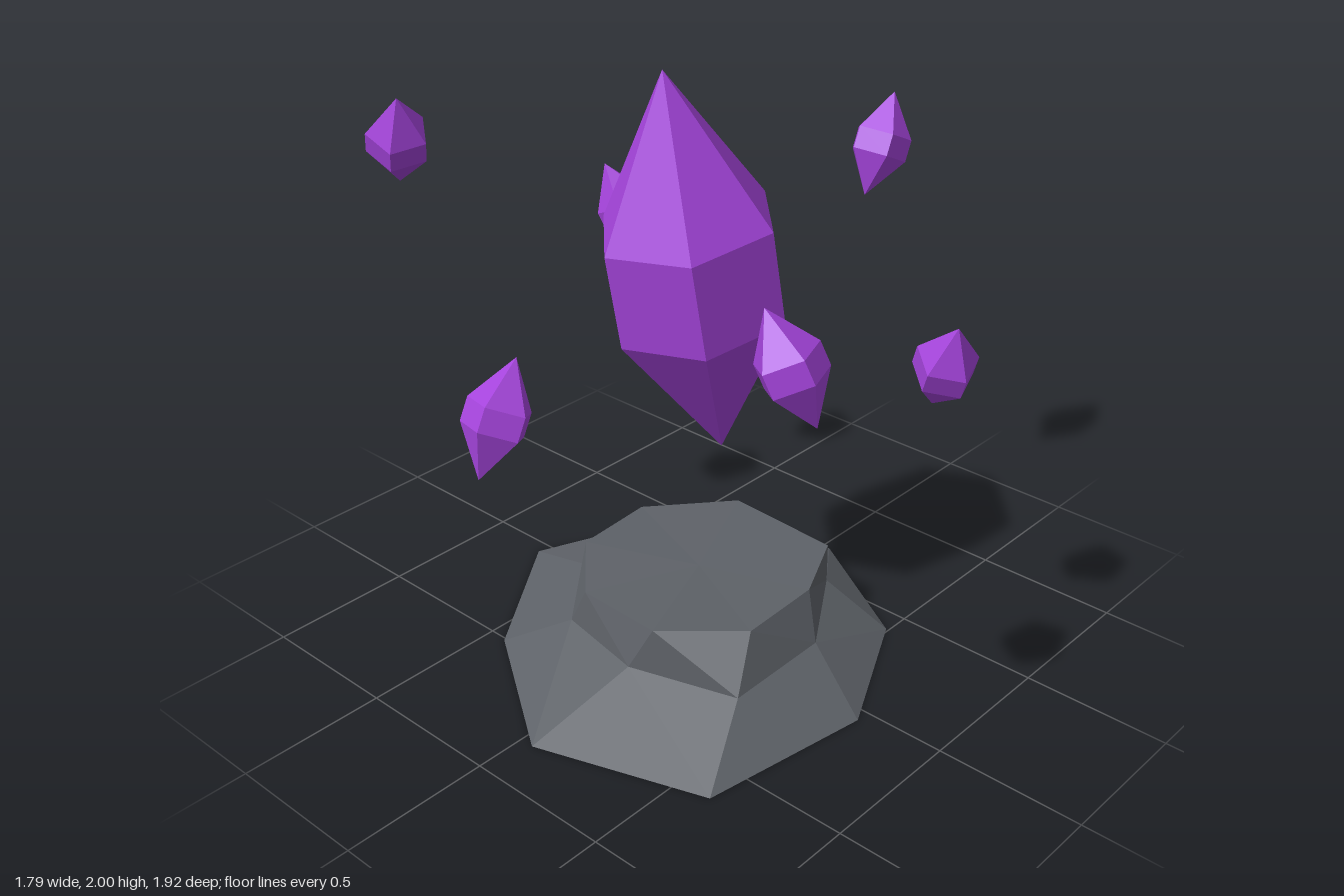
import * as THREE from 'three';

const crystalMat = new THREE.MeshStandardMaterial({ name: 'purple crystal', color: 0xa544dc, flatShading: true });
const rockMat = new THREE.MeshStandardMaterial({ name: 'grey rock', color: 0x5e6268, flatShading: true });

// Faceted crystal stretched between its lower and upper tips
function crystal(name, bottom, top, sides, radius, ring, startDeg) {
  const a = new THREE.Vector3(...bottom), b = new THREE.Vector3(...top);
  const half = a.distanceTo(b) / 2;
  const profile = [[0, -half], [radius, -ring], [radius, ring], [0, half]].map(p => new THREE.Vector2(...p));
  const geo = new THREE.LatheGeometry(profile, sides, THREE.MathUtils.degToRad(startDeg));
  const mesh = new THREE.Mesh(geo, crystalMat);
  mesh.name = name;
  mesh.position.copy(a).add(b).multiplyScalar(0.5);
  mesh.quaternion.setFromUnitVectors(new THREE.Vector3(0, 1, 0), b.sub(a).normalize());
  return mesh;
}

// Irregular rock: rings of [x, y, z] joined from bottom to top and capped
function rock(rings) {
  const n = rings[0].length, pos = [];
  const tri = (...pts) => pts.forEach(p => pos.push(...p));
  const centre = r => [0, 1, 2].map(k => r.reduce((s, p) => s + p[k], 0) / n);
  const last = rings[rings.length - 1];
  const low = centre(rings[0]), high = centre(last);
  for (let i = 0; i < n; i++) {
    const j = (i + 1) % n;
    for (let k = 0; k < rings.length - 1; k++) {
      const lo = rings[k], up = rings[k + 1];
      tri(lo[i], up[i], up[j]);
      tri(lo[i], up[j], lo[j]);
    }
    tri(low, rings[0][i], rings[0][j]);
    tri(high, last[j], last[i]);
  }
  const geo = new THREE.BufferGeometry();
  geo.setAttribute('position', new THREE.Float32BufferAttribute(pos, 3));
  geo.computeVertexNormals();
  return geo;
}

export function createModel() {
  const group = new THREE.Group();
  group.name = 'floatingCrystals';

  // Stone pedestal: wide foot, shoulder and flat top
  const foot = [[0.03, -0.68], [0.49, -0.41], [0.72, 0.05], [0.62, 0.64],
    [0.05, 0.83], [-0.43, 0.51], [-0.75, 0.05], [-0.45, -0.43]].map(([x, z]) => [x, 0, z]);
  const shoulder = [[-0.08, -0.45], [0.28, -0.34], [0.48, -0.03], [0.485, 0.36],
    [0.12, 0.47], [-0.2, 0.41], [-0.385, 0.14], [-0.41, -0.24]].map(([x, z]) => [x, 0.14, z]);
  const top = [[-0.14, 0.28, -0.36], [0.28, 0.28, -0.34], [0.4, 0.28, -0.09], [0.415, 0.285, 0.22],
    [0.2, 0.3, 0.44], [-0.13, 0.28, 0.41], [-0.34, 0.285, 0.2], [-0.375, 0.27, -0.11]];
  const base = new THREE.Mesh(rock([foot, shoulder, top]), rockMat);
  base.name = 'rockBase';
  group.add(base);

  // Large central crystal
  group.add(crystal('mainCrystal', [0.06, 0.71, -0.04], [0, 2, 0.16], 6, 0.29, 0.157, 45));

  // Small crystals floating around it: lower tip, upper tip, facet start angle
  const shards = [
    [[-0.86, 1.53, 0.46], [-0.73, 1.85, 0.55], 36],
    [[-0.61, 1.07, -0.42], [-0.75, 1.4, -0.34], 36],
    [[0.855, 1.275, 0.485], [0.72, 1.605, 0.55], 0],
    [[0.65, 0.95, -0.355], [0.78, 1.275, -0.275], 0],
    [[0.01, 0.985, 0.94], [0.015, 1.315, 0.78], 90],
    [[0.04, 1.36, -0.785], [0.035, 1.685, -0.935], 54],
  ];
  shards.forEach(([lo, hi, deg], i) =>
    group.add(crystal('smallCrystal' + (i + 1), lo, hi, 5, 0.1, 0.037, deg)));

  return group;
}
